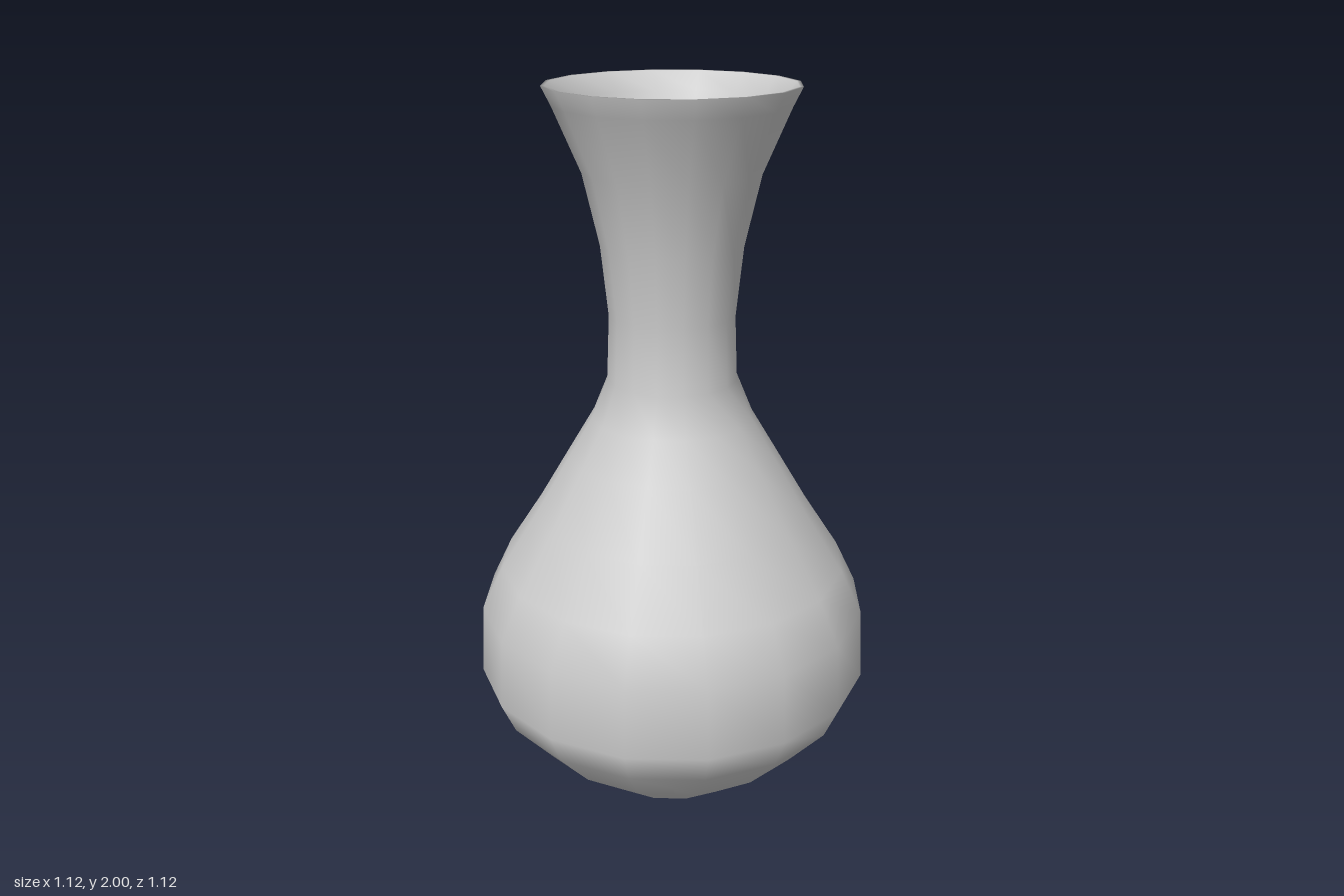
import * as THREE from 'three';

const SIDES = 16;

// Outer silhouette as [radius, height], foot to lip
const OUTER = [
  [0.24, 0], [0.41, 0.135], [0.52, 0.26], [0.56, 0.35], [0.55, 0.55], [0.49, 0.675],
  [0.39, 0.83], [0.29, 1.0], [0.225, 1.11], [0.18, 1.22], [0.173, 1.4], [0.193, 1.59],
  [0.237, 1.78], [0.31, 1.95], [0.335, 2],
];
const WALL = 0.022;

export function createModel() {
  const vase = new THREE.Group();
  vase.name = 'vase';
  const material = new THREE.MeshStandardMaterial({ color: 0xcccccc });

  const addLathe = (name, profile) => {
    const points = profile.map(([r, y]) => new THREE.Vector2(r, y));
    const mesh = new THREE.Mesh(new THREE.LatheGeometry(points, SIDES), material);
    mesh.name = name;
    vase.add(mesh);
  };

  // Inner wall follows the outer one, from the lip down to the inside floor
  const inner = OUTER.slice(1, -1).reverse().map(([r, y]) => [r - WALL, y]);

  // One continuous skin so the shading rolls softly over the lip
  addLathe('body', [...OUTER, [0.325, 2], ...inner, [0.23, WALL]]);
  addLathe('insideFloor', [[0.23, WALL], [0, WALL]]);
  addLathe('base', [[0, 0], [0.24, 0]]);

  return vase;
}
